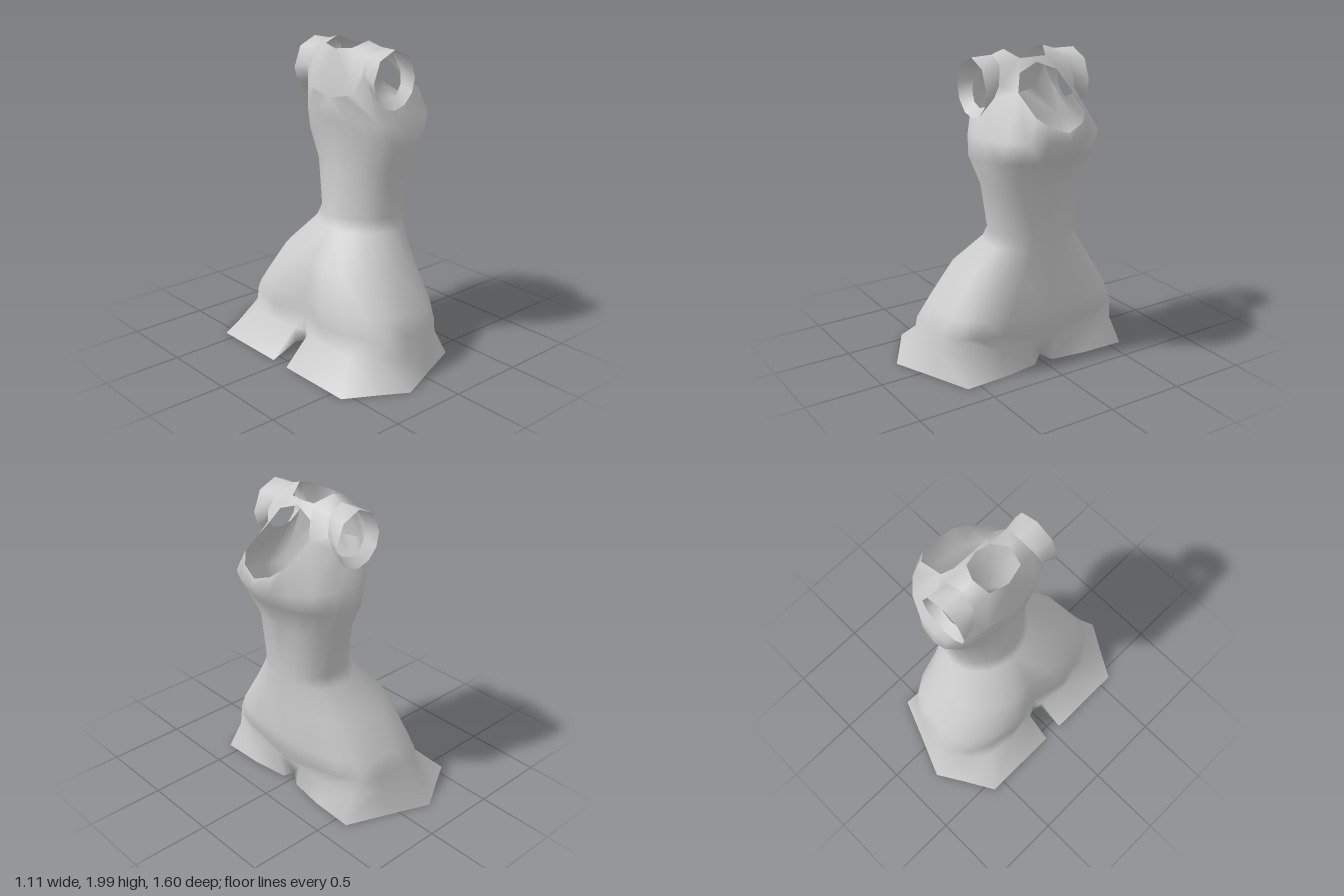
import * as THREE from 'three';
import { mergeVertices } from 'three/addons/utils/BufferGeometryUtils.js';

// Collects the faces of one half (z >= 0) and mirrors them across z = 0
function mirroredShell() {
  const pos = [];
  const tri = (a, b, c) => {
    pos.push(...a, ...b, ...c);
    for (const p of [a, c, b]) pos.push(p[0], p[1], -p[2]);
  };
  const quad = (a, b, c, d) => { tri(a, b, c); tri(a, c, d); };
  // Strip between two rows of points; 'low' lies under 'high', running front to back
  const strip = (low, high, closed = false) => {
    const n = low.length;
    for (let i = 0; i < (closed ? n : n - 1); i++) {
      const j = (i + 1) % n;
      quad(low[i], high[i], high[j], low[j]);
    }
  };
  const mesh = (name) => {
    let g = new THREE.BufferGeometry();
    g.setAttribute('position', new THREE.Float32BufferAttribute(pos, 3));
    g = mergeVertices(g, 1e-4);
    g.computeVertexNormals();
    const m = new THREE.Mesh(g, new THREE.MeshStandardMaterial({ color: 0xcccccc, side: THREE.DoubleSide }));
    m.name = name;
    return m;
  };
  return { tri, quad, strip, mesh };
}

// Half cross-section: front x, back x, half width, x of widest point,
// squareness of the front and of the back, depth of back cleft
function halfRing([y, front, back, width, mid, frontPower, backPower, cleft]) {
  const ring = [];
  for (let k = 0; k <= 10; k++) {
    const a = (k / 10) * Math.PI;
    const c = k === 5 ? 0 : Math.cos(a);
    const s = k % 10 === 0 ? 0 : Math.sin(a);
    const reach = c > 0 ? front - mid : mid - back;
    const power = c > 0 ? frontPower : backPower;
    const dent = k === 10 ? cleft : 0;
    ring.push([mid + reach * Math.sign(c) * Math.abs(c) ** power + dent, y, width * s ** power]);
  }
  return ring;
}

export function createModel() {
  const group = new THREE.Group();
  group.name = 'garment';

  // Torso from bust to upper thighs
  const rings = [
    [1.52, 0.55, -0.125, 0.4, 0.12, 0.97, 0.87, 0],
    [1.39, 0.46, -0.1, 0.41, 0.12, 0.92, 0.92, 0],
    [1.2, 0.36, -0.09, 0.33, 0.12, 0.85, 1, 0],
    [0.9, 0.345, -0.12, 0.28, 0.12, 0.83, 1.08, 0],
    [0.82, 0.34, -0.15, 0.305, 0.1, 0.83, 1.05, 0],
    [0.63, 0.34, -0.34, 0.455, 0, 0.78, 0.95, 0.04],
    [0.4, 0.355, -0.42, 0.605, -0.07, 0.65, 0.95, 0.07],
    [0.29, 0.335, -0.415, 0.66, -0.11, 0.58, 0.85, 0.07],
  ].map(halfRing);

  // Thigh ring and flared hem, front centre to back centre
  const thigh = [[0.3, 0], [0.295, 0.1], [0.3, 0.33], [0.26, 0.55], [0.08, 0.64], [-0.14, 0.705],
    [-0.29, 0.59], [-0.39, 0.46], [-0.41, 0.28], [-0.385, 0.065], [-0.35, 0]].map(([x, z]) => [x, 0.18, z]);
  const hem = [[0.29, 0.065], [0.325, 0.3], [0.335, 0.585], [0.07, 0.69], [-0.2, 0.8],
    [-0.38, 0.69], [-0.56, 0.585], [-0.56, 0.32], [-0.56, 0.065]].map(([x, z]) => [x, 0.01, z]);
  const crotch = [[0.25, 0.05, 0], [0, 0.06, 0], [-0.36, 0.12, 0]];
  const innerLeg = [hem[0], [0, 0.04, 0.04], [-0.38, 0.08, 0.065]];

  const body = mirroredShell();
  rings.push(thigh);
  for (let i = 1; i < rings.length; i++) body.strip(rings[i], rings[i - 1]);
  body.strip([crotch[0], ...hem], thigh.slice(0, 10));
  // Back notch and inner legs
  body.quad(thigh[9], thigh[10], crotch[2], innerLeg[2]);
  body.tri(thigh[9], innerLeg[2], hem[8]);
  body.strip(crotch, innerLeg);

  // Chest cutout and neck opening
  const top = rings[0];
  const cut = [[0.53, 1.57, 0], [0.505, 1.61, 0.11], [0.45, 1.665, 0.175], [0.27, 1.78, 0.18],
    [0.21, 1.88, 0.13], [0.19, 1.93, 0]];
  const neck = [[0.17, 1.96, 0], [0.15, 1.955, 0.09], [0.05, 2, 0.14], [-0.06, 1.965, 0.12], [-0.09, 1.95, 0]];
  const backMid = [-0.13, 1.7, 0.2];
  const backCentre = [-0.15, 1.66, 0];

  body.strip(top.slice(0, 4), cut.slice(0, 4));
  // Collar band between cutout and neck
  body.tri(cut[3], cut[4], neck[1]);
  body.quad(cut[4], cut[5], neck[0], neck[1]);
  // Upper back
  const backRow = [0, 1, 2, 3].map((i) => backMid.map((v, n) => v + (backCentre[n] - v) * i / 3));
  body.strip(top.slice(7), backRow);
  body.strip([backMid, backCentre], [neck[3], neck[4]]);

  // Shoulder yoke running into the armhole
  const outer = [...top.slice(3, 8), backMid, neck[3], neck[2], neck[1], cut[3]];
  const angles = [-30, -60, -90, -120, -150, 180, 135, 90, 45, 0];
  const armRing = (x, y, radius, z, tilt) => angles.map((deg) => {
    const a = THREE.MathUtils.degToRad(deg);
    return [x + radius * Math.cos(a), y + radius * 1.08 * Math.sin(a), z - tilt * Math.sin(a)];
  });
  const armhole = armRing(0.055, 1.82, 0.143, 0.265, 0.045);
  const cuff = armRing(0.055, 1.79, 0.168, 0.365, 0);
  body.strip(outer, armhole, true);
  group.add(body.mesh('body'));

  // Short flared sleeves
  const sleeves = mirroredShell();
  sleeves.strip(armhole, cuff, true);
  group.add(sleeves.mesh('sleeves'));

  return group;
}
